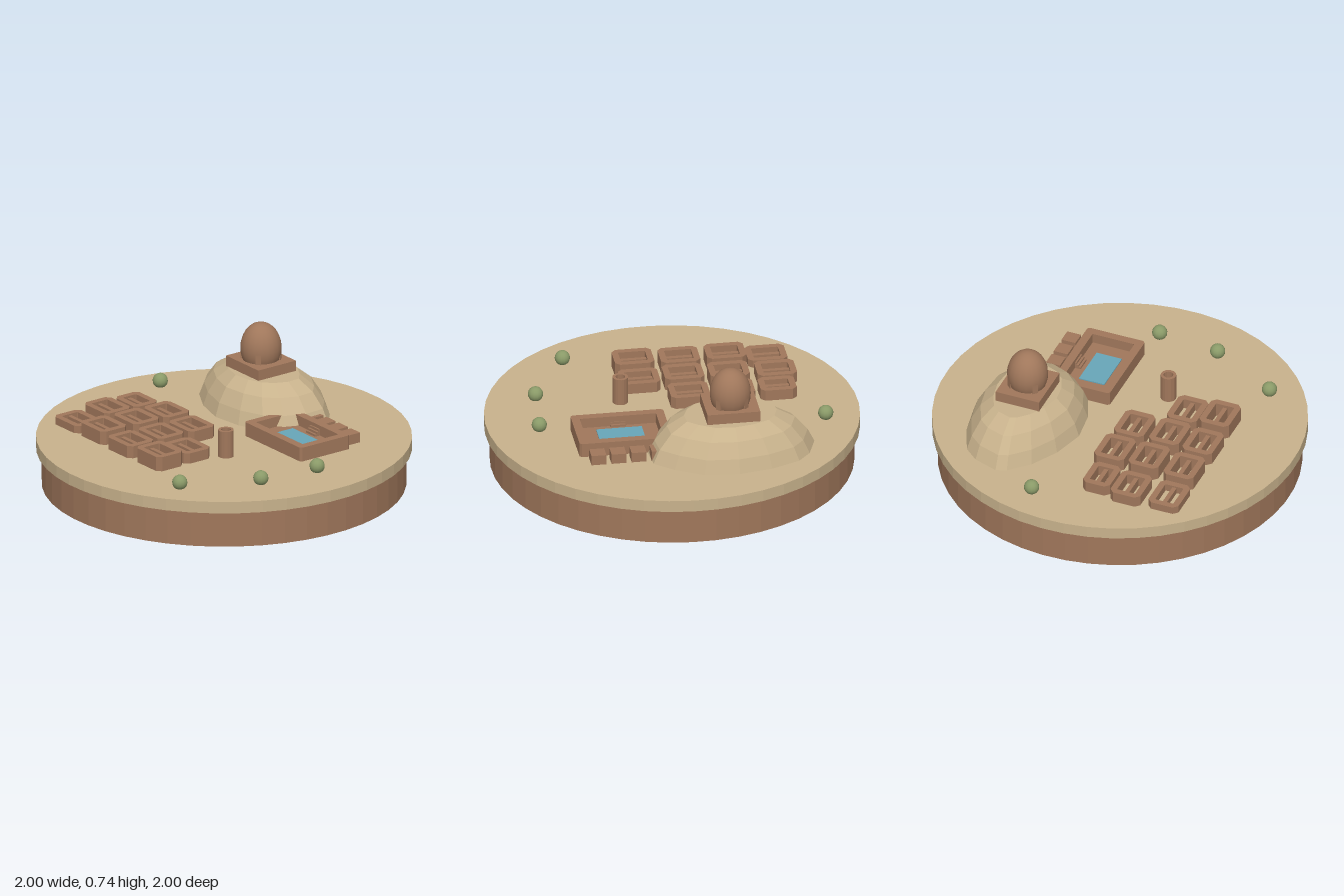
import * as THREE from 'three';

const GROUND = 0.265;
const TILT = -THREE.MathUtils.degToRad(20); // shared street-grid rotation

const sand = new THREE.MeshStandardMaterial({ color: 0xc8b28c });
sand.name = 'sand';
const brick = new THREE.MeshStandardMaterial({ color: 0xa0775b });
brick.name = 'brick';
const water = new THREE.MeshStandardMaterial({ color: 0x68a6b8 });
water.name = 'water';
const leaf = new THREE.MeshStandardMaterial({ color: 0x8a9a68 });
leaf.name = 'leaf';

function add(parent, name, geometry, material, x = 0, y = 0, z = 0) {
  const mesh = new THREE.Mesh(geometry, material);
  mesh.name = name;
  mesh.position.set(x, y, z);
  parent.add(mesh);
  return mesh;
}

function subGroup(parent, name, x, y, z) {
  const g = new THREE.Group();
  g.name = name;
  g.position.set(x, y, z);
  g.rotation.y = TILT;
  parent.add(g);
  return g;
}

// Faceted normals without a separate material
function flat(geometry) {
  const g = geometry.index ? geometry.toNonIndexed() : geometry;
  g.computeVertexNormals();
  return g;
}

// Rectangle outline with cut corners
function cutRect(w, d, c) {
  const x = w / 2, y = d / 2;
  return [[x - c, -y], [x, -y + c], [x, y - c], [x - c, y], [-x + c, y], [-x, y - c], [-x, -y + c], [-x + c, -y]]
    .map(([a, b]) => new THREE.Vector2(a, b));
}

// Upright hollow block of walls
function wallRing(w, d, h, t, cut) {
  const shape = new THREE.Shape(cutRect(w, d, cut));
  shape.holes.push(new THREE.Path(cutRect(w - 2 * t, d - 2 * t, 0.004).reverse()));
  return new THREE.ExtrudeGeometry(shape, { depth: h, bevelEnabled: false }).rotateX(-Math.PI / 2);
}

// Faceted hill: one irregular outline shrunk ring by ring
function moundGeometry() {
  const cx = -0.08, cz = -0.485;
  const outline = [[-0.51, -0.64], [-0.42, -0.75], [-0.33, -0.8], [-0.16, -0.81], [0.02, -0.78], [0.19, -0.7],
    [0.3, -0.57], [0.365, -0.455], [0.33, -0.33], [0.24, -0.23], [0.13, -0.175], [-0.02, -0.17],
    [-0.19, -0.21], [-0.34, -0.32], [-0.45, -0.45], [-0.51, -0.58]];
  const rings = [[1, GROUND], [0.92, 0.34], [0.77, 0.42], [0.56, 0.475]];
  const n = outline.length, pos = [], index = [];
  for (const [s, y] of rings) {
    for (const [x, z] of outline) pos.push(cx + (x - cx) * s, y, cz + (z - cz) * s);
  }
  pos.push(cx, 0.475, cz);
  for (let i = 0; i < n; i++) {
    const j = (i + 1) % n;
    for (let r = 0; r < rings.length - 1; r++) {
      const a = r * n, b = a + n;
      index.push(a + j, a + i, b + i, a + j, b + i, b + j);
    }
    const top = (rings.length - 1) * n;
    index.push(rings.length * n, top + j, top + i);
  }
  const g = new THREE.BufferGeometry();
  g.setAttribute('position', new THREE.Float32BufferAttribute(pos, 3));
  g.setIndex(index);
  return flat(g);
}

export function createModel() {
  const model = new THREE.Group();
  model.name = 'ancientSettlement';

  // Round plinth and ground
  add(model, 'plinth', flat(new THREE.CylinderGeometry(0.97, 0.97, 0.2, 48)), brick, 0, 0.1, 0);
  add(model, 'ground', flat(new THREE.CylinderGeometry(1, 1, GROUND - 0.2, 48)), sand, 0, (GROUND + 0.2) / 2, 0);

  // Hill with domed shrine
  add(model, 'mound', moundGeometry(), sand);
  const shrine = subGroup(model, 'shrine', -0.083, 0.475, -0.488);
  add(shrine, 'shrinePlatform', new THREE.BoxGeometry(0.285, 0.06, 0.25), brick, 0, 0.028, 0);
  const dome = add(shrine, 'dome', new THREE.SphereGeometry(0.11, 20, 14), brick, 0, 0.12, 0);
  dome.scale.y = 1.28;
  for (let i = 0; i < 4; i++) {
    const a = Math.PI / 4 + i * Math.PI / 2;
    const niche = add(shrine, 'domeNiche', new THREE.BoxGeometry(0.03, 0.06, 0.02), brick,
      Math.sin(a) * 0.098, 0.085, Math.cos(a) * 0.098);
    niche.rotation.y = a;
  }

  // Bath compound with pool, steps and back cells
  const bath = subGroup(model, 'bath', 0.38, GROUND, -0.13);
  add(bath, 'bathWalls', wallRing(0.5, 0.33, 0.078, 0.045, 0.012), brick);
  add(bath, 'bathFloor', new THREE.BoxGeometry(0.42, 0.022, 0.25), brick, 0, 0.011, 0);
  add(bath, 'poolWater', new THREE.BoxGeometry(0.245, 0.008, 0.145), water, 0, 0.024, 0.01);
  for (const side of [-1, 1]) {
    for (let i = 0; i < 3; i++) {
      const h = 0.012 * (i + 1);
      add(bath, 'poolStep', new THREE.BoxGeometry(0.08, h, 0.013), brick,
        0, 0.022 + h / 2, 0.008 + side * (0.102 + i * 0.012));
    }
  }
  for (let i = 0; i < 4; i++) {
    add(bath, 'backCell', new THREE.BoxGeometry(0.08, 0.055, 0.08), brick, 0.163 - i * 0.108, 0.0275, -0.225);
  }

  // Courtyard houses: x, z, wall height
  const houses = [
    [-0.6, -0.07, 0.06], [-0.37, -0.01, 0.07], [-0.15, 0.085, 0.065],
    [-0.68, 0.09, 0.06], [-0.44, 0.175, 0.075], [-0.22, 0.275, 0.07], [0, 0.36, 0.058],
    [-0.735, 0.295, 0.042], [-0.525, 0.365, 0.075], [-0.295, 0.455, 0.068], [-0.06, 0.535, 0.08],
  ];
  houses.forEach(([x, z, h], i) => {
    const w = i === 0 ? 0.195 : 0.212, d = i === 0 ? 0.155 : 0.172;
    const house = subGroup(model, 'house', x, GROUND, z);
    add(house, 'houseWalls', wallRing(w, d, h, 0.034, 0.024), brick);
    add(house, 'housePartition', new THREE.BoxGeometry(w - 0.066, h * 0.8, 0.024), brick, 0, h * 0.4, 0);
  });

  // Hollow round well shaft
  const wellProfile = [[0.042, 0], [0.042, 0.15], [0.042, 0.15], [0.026, 0.15], [0.026, 0.15], [0.026, 0.11], [0.026, 0.11], [0, 0.11]]
    .map(([r, y]) => new THREE.Vector2(r, y));
  add(model, 'wellShaft', flat(new THREE.LatheGeometry(wellProfile, 16)), brick, 0.175, GROUND, 0.25);

  // Round bushes
  for (const [x, z] of [[-0.69, -0.44], [0.707, 0.18], [0.555, 0.495], [0.23, 0.785]]) {
    add(model, 'bush', new THREE.SphereGeometry(0.041, 14, 10), leaf, x, 0.296, z);
  }

  return model;
}
